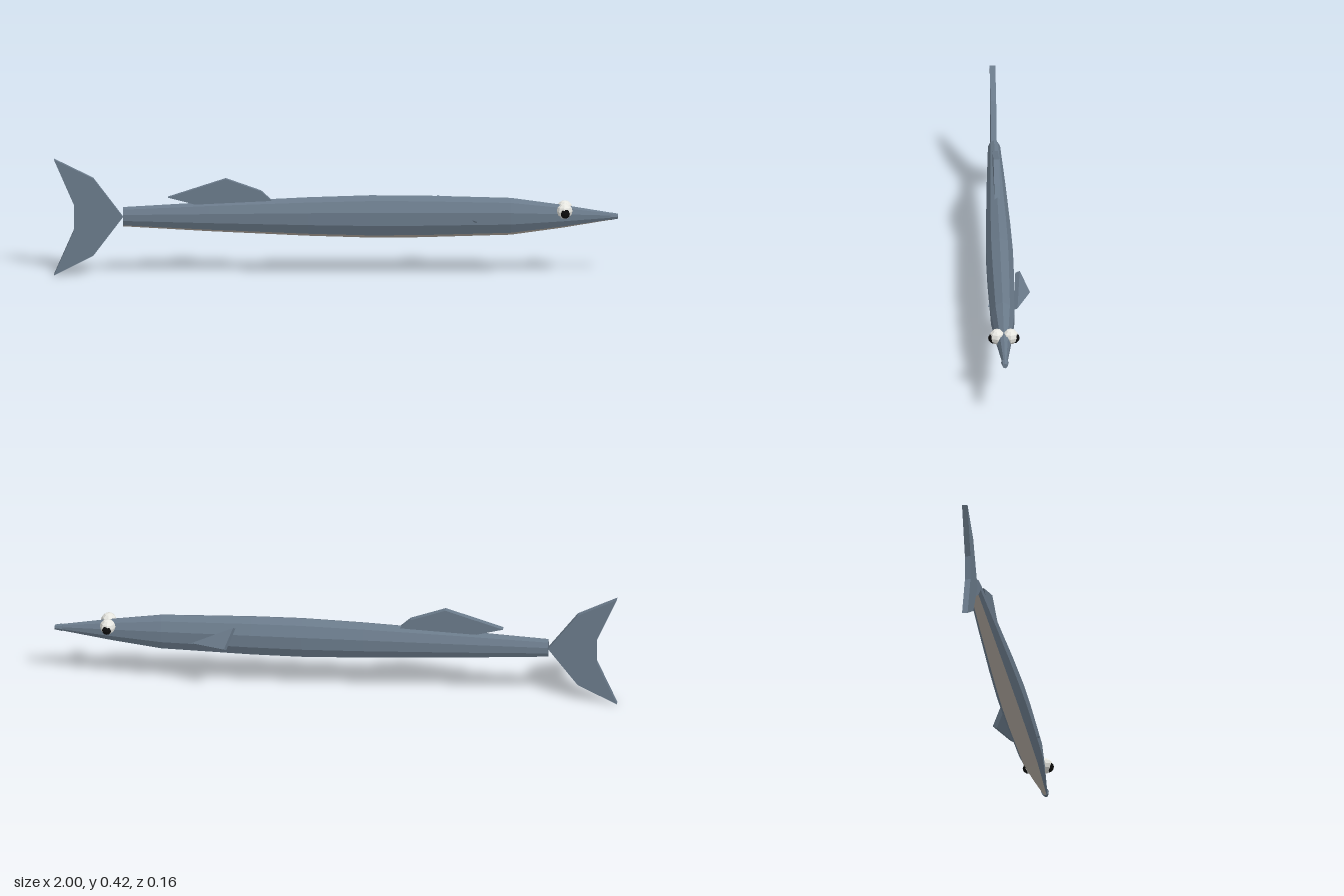
import * as THREE from 'three';
import { ConvexGeometry } from 'three/addons/geometries/ConvexGeometry.js';

const CY = 0.212, CZ = 0.025, SIDES = 10, ASPECT = 0.65;

function material(name, color) {
  const m = new THREE.MeshStandardMaterial({ color });
  m.name = name;
  m.flatShading = true;
  return m;
}

// body stations: [x, half height]
const STATIONS = [
  [-0.755, 0.035], [-0.45, 0.053], [-0.1, 0.07], [0.12, 0.077],
  [0.3, 0.076], [0.62, 0.067], [0.8, 0.042], [0.975, 0.013],
];

function ringPoint(i, j) {
  const [x, r] = STATIONS[i];
  const a = (j / SIDES) * Math.PI * 2;
  return [x, CY + r * Math.cos(a), CZ + ASPECT * r * Math.sin(a)];
}

// lofted strips for the chosen facets, with optional end caps
function loft(facets, caps) {
  const pos = [];
  const last = STATIONS.length - 1;
  for (const j of facets) {
    for (let i = 0; i < last; i++) {
      const a = ringPoint(i, j), b = ringPoint(i, j + 1);
      const c = ringPoint(i + 1, j + 1), d = ringPoint(i + 1, j);
      pos.push(...a, ...b, ...c, ...a, ...c, ...d);
    }
  }
  if (caps) {
    for (let j = 0; j < SIDES; j++) {
      pos.push(STATIONS[0][0], CY, CZ, ...ringPoint(0, j + 1), ...ringPoint(0, j));
      pos.push(STATIONS[last][0], CY, CZ, ...ringPoint(last, j), ...ringPoint(last, j + 1));
    }
  }
  const g = new THREE.BufferGeometry();
  g.setAttribute('position', new THREE.Float32BufferAttribute(pos, 3));
  g.computeVertexNormals();
  return g;
}

// flat upright fin in the xy plane
function finPlate(points) {
  const shape = new THREE.Shape(points.map(([x, y]) => new THREE.Vector2(x, y)));
  const g = new THREE.ExtrudeGeometry(shape, { depth: 0.02, bevelEnabled: false });
  return g.translate(0, 0, CZ - 0.01);
}

// triangular slab: outer triangle plus the same triangle shifted inwards
function slab(triangle, shift) {
  const pts = triangle.map((p) => new THREE.Vector3(...p));
  const s = new THREE.Vector3(...shift);
  return new ConvexGeometry([...pts, ...pts.map((p) => p.clone().add(s))]);
}

export function createModel() {
  const group = new THREE.Group();
  const slate = material('slate skin', 0x6a7a8a);
  const pale = material('pale belly', 0xbcb4aa);
  const white = material('eye white', 0xeeeee8);
  const black = material('pupil black', 0x0c0c0c);

  const add = (name, geometry, mat) => {
    const m = new THREE.Mesh(geometry, mat);
    m.name = name;
    group.add(m);
    return m;
  };

  // body, with the two lowest facets as the belly
  add('body', loft([0, 1, 2, 3, 6, 7, 8, 9], true), slate);
  add('belly', loft([4, 5], false), pale);

  // blunt snout tip
  const snout = add('snoutTip', new THREE.CylinderGeometry(0.009, 0.014, 0.027, 8), slate);
  snout.rotation.z = -Math.PI / 2;
  snout.position.set(0.9865, CY, CZ);

  // forked tail and back fin
  add('tailFin', finPlate([
    [-0.755, 0.212], [-0.86, 0.352], [-1, 0.422], [-0.928, 0.255],
    [-0.928, 0.165], [-1, 0], [-0.86, 0.072],
  ]), slate);
  add('dorsalFin', finPlate([
    [-0.595, 0.283], [-0.5, 0.258], [-0.225, 0.268], [-0.265, 0.305], [-0.39, 0.35],
  ]), slate);

  // side fins: one stands out, the other lies almost inside the body
  add('rightSideFin', slab(
    [[0.51, 0.2, -0.03], [0.36, 0.275, -0.041], [0.39, 0.205, -0.077]],
    [-0.0066, -0.011, 0.0155]), slate);
  add('leftSideFin', slab(
    [[0.5, 0.203, 0.075], [0.36, 0.24, 0.03], [0.39, 0.185, 0.02]],
    [-0.006, -0.008, -0.015]), slate);

  // eyes
  for (const side of [1, -1]) {
    const name = side > 0 ? 'left' : 'right';
    const eye = add(name + 'Eye', new THREE.SphereGeometry(0.028, 8, 6), white);
    eye.position.set(0.81, 0.236, CZ + side * 0.024);
    const pupil = add(name + 'Pupil', new THREE.SphereGeometry(0.019, 8, 6), black);
    pupil.position.set(0.812, 0.231, CZ + side * 0.037);
  }
  return group;
}
